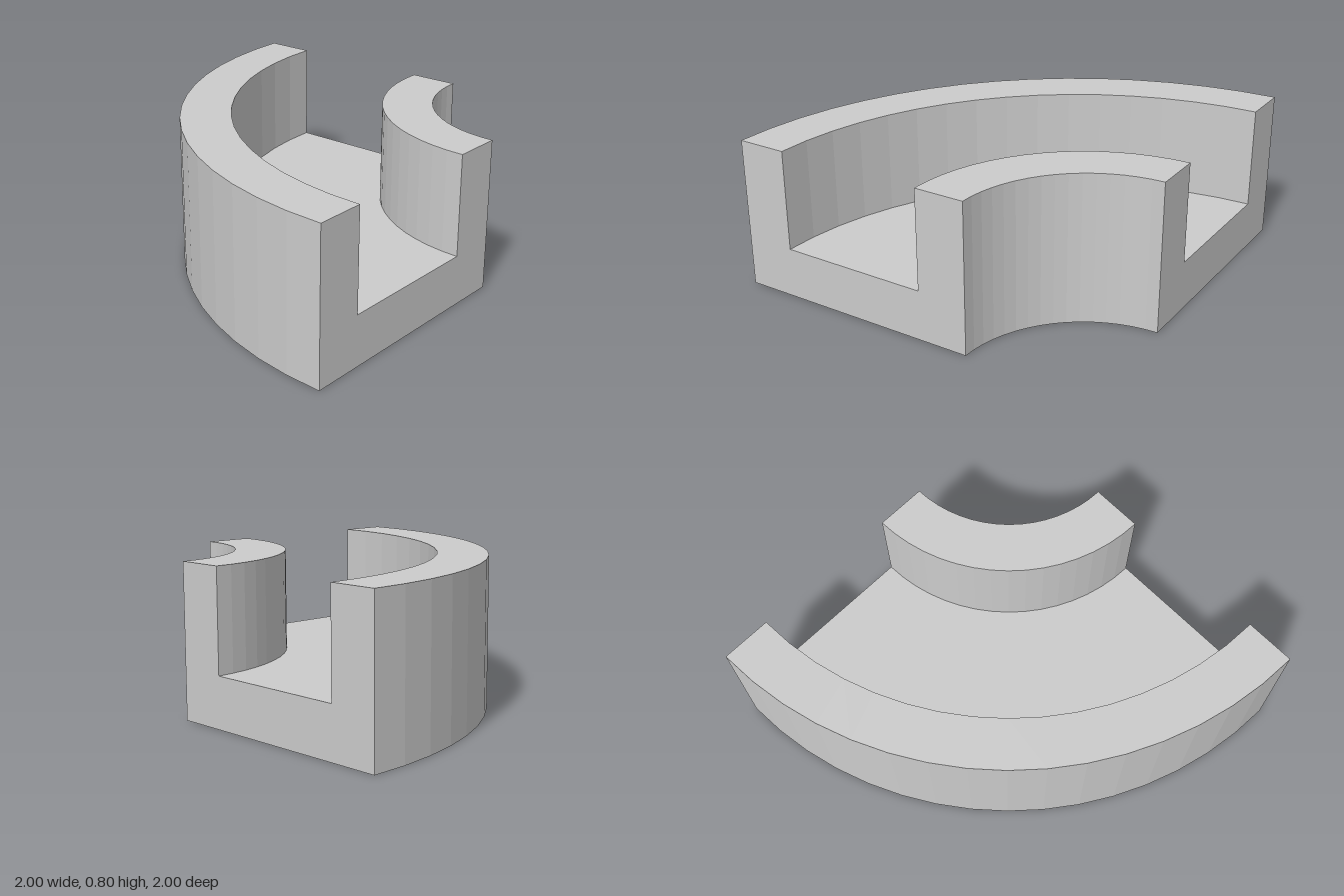
import * as THREE from 'three';

export function createModel() {
  const group = new THREE.Group();
  group.name = 'curvedChannel';
  const material = new THREE.MeshStandardMaterial({ color: 0xcccccc, flatShading: true });

  // U-shaped cross-section: distance from the bend's centre, height
  const inner = 0.667, outer = 2, wall = 0.267, floor = 0.267, height = 0.8;
  const profile = [
    [inner, 0], [outer, 0], [outer, height], [outer - wall, height],
    [outer - wall, floor], [inner + wall, floor], [inner + wall, height], [inner, height],
  ].map(([r, y]) => new THREE.Vector2(r, y));

  function add(name, geometry) {
    const mesh = new THREE.Mesh(geometry, material);
    mesh.name = name;
    mesh.position.set(1, 0, -1); // centre of the bend
    group.add(mesh);
  }

  // Quarter-turn sweep of the closed section
  add('channelBody', new THREE.LatheGeometry([...profile, profile[0].clone()], 16, -Math.PI / 2, Math.PI / 2));

  // Flat end faces
  const mirrored = profile.map((p) => new THREE.Vector2(-p.x, p.y));
  add('backEnd', new THREE.ShapeGeometry(new THREE.Shape(profile)).rotateY(Math.PI));
  add('leftEnd', new THREE.ShapeGeometry(new THREE.Shape(mirrored)).rotateY(Math.PI / 2));

  return group;
}
